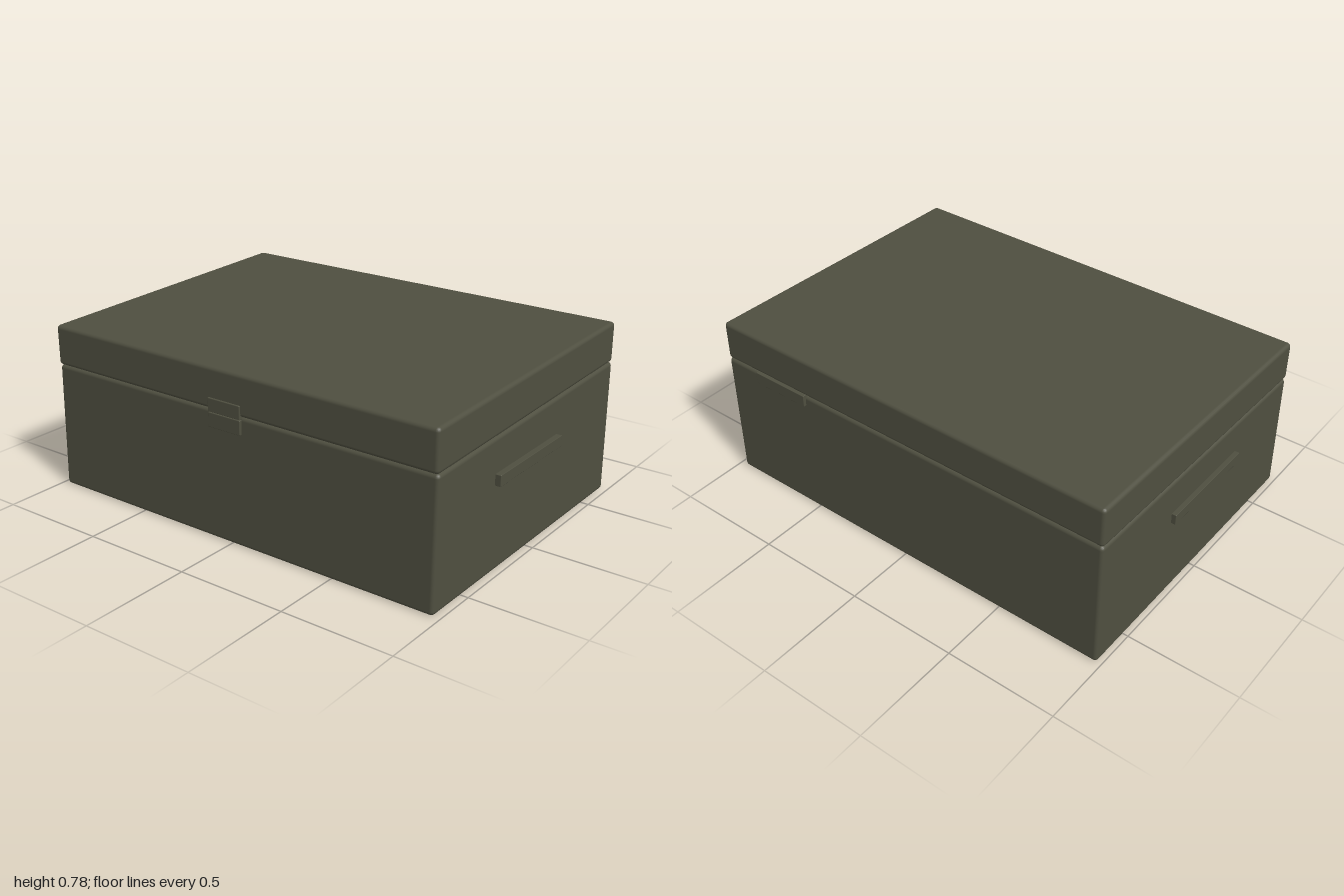
import * as THREE from 'three';
import { RoundedBoxGeometry } from 'three/addons/geometries/RoundedBoxGeometry.js';

const olive = new THREE.MeshStandardMaterial({ color: 0x4f4f40 });
olive.name = 'olive paint';

// Height at depth z of a plane that rises gently towards the back
const slope = (frontY, z) => frontY + 0.035 * (0.69 - z) / 1.38;

// Rounded block whose vertices are moved by a rule(x, y, z) => [x, y, z]
function block(name, [x0, x1], [y0, y1], [z0, z1], radius, rule) {
  const g = new RoundedBoxGeometry(x1 - x0, y1 - y0, z1 - z0, 2, radius);
  g.translate((x0 + x1) / 2, (y0 + y1) / 2, (z0 + z1) / 2);
  if (rule) {
    const p = g.attributes.position;
    for (let i = 0; i < p.count; i++) p.setXYZ(i, ...rule(p.getX(i), p.getY(i), p.getZ(i)));
  }
  const mesh = new THREE.Mesh(g, olive);
  mesh.name = name;
  return mesh;
}

export function createModel() {
  const box = new THREE.Group();
  box.name = 'storageBox';

  // Body: sloping rim, front wall leaning slightly inward
  box.add(block('body', [-0.98, 0.972], [0, 0.565], [-0.692, 0.703], 0.017, (x, y, z) => {
    const t = y / 0.565;
    return [x, y + t * (slope(0.565, z) - 0.565), z > 0 ? z - 0.013 * t : z];
  }));

  // Lid: follows the sloping rim
  box.add(block('lid', [-0.98, 0.972], [0.565, 0.745], [-0.692, 0.696], 0.017,
    (x, y, z) => [x, slope(y, z), z]));

  // Two-part latch on the front
  box.add(block('latchPlate', [-0.105, 0.06], [0.49, 0.554], [0.67, 0.703], 0.003));
  box.add(block('latchFlap', [-0.105, 0.06], [0.556, 0.615], [0.67, 0.703], 0.003));

  // Single hinge on the back
  box.add(block('hinge', [0.51, 0.79], [0.553, 0.606], [-0.705, -0.67], 0.002));

  // Carrying handles on both ends
  box.add(block('leftHandle', [0.95, 0.997], [0.377, 0.425], [-0.205, 0.287], 0.002));
  box.add(block('rightHandle', [-1.0, -0.95], [0.377, 0.425], [-0.205, 0.287], 0.002));

  return box;
}
